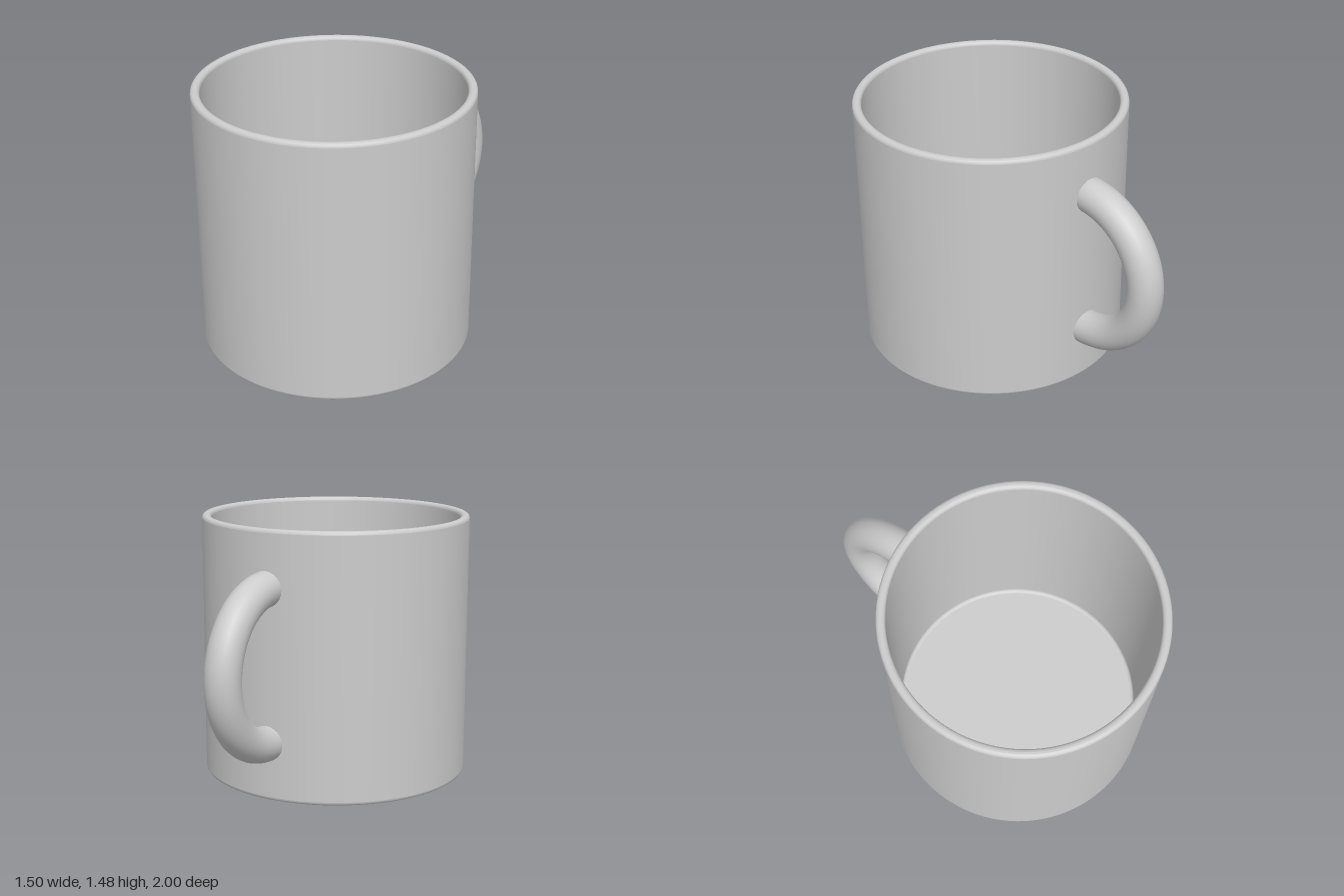
import * as THREE from 'three';

const HEIGHT = 1.475, OUTER = 0.75, INNER = 0.7, FLOOR = 0.05;
const CENTRE_Z = 0.25;

// Quarter round; its doubled end points keep the neighbouring faces evenly shaded
function arc(cx, cy, r, from, to, steps = 4) {
  const points = Array.from({ length: steps + 1 }, (_, i) => {
    const a = from + ((to - from) * i) / steps;
    return new THREE.Vector2(cx + r * Math.cos(a), cy + r * Math.sin(a));
  });
  return [points[0].clone(), ...points, points[steps].clone()];
}

export function createModel() {
  const group = new THREE.Group();
  group.name = 'mug';
  const material = new THREE.MeshStandardMaterial({ color: 0xcccccc });

  const add = (name, geometry, x, y, z) => {
    const mesh = new THREE.Mesh(geometry, material);
    mesh.name = name;
    mesh.position.set(x, y, z);
    group.add(mesh);
  };

  // Cup: hollow wall profile with rounded base edge and lip, open down to the floor
  const r = 0.02;
  const profile = [
    new THREE.Vector2(0, 0),
    ...arc(OUTER - r, r, r, -Math.PI / 2, 0),
    ...arc(OUTER - r, HEIGHT - r, r, 0, Math.PI / 2),
    ...arc(INNER + r, HEIGHT - r, r, Math.PI / 2, Math.PI),
    ...arc(INNER - r, FLOOR + r, r, 0, -Math.PI / 2),
    new THREE.Vector2(0, FLOOR),
  ];
  add('cup', new THREE.LatheGeometry(profile, 96), 0, 0, CENTRE_Z);

  // Handle: half ring behind the cup, its ends sunk into the wall
  const ring = new THREE.TorusGeometry(0.42, 0.097, 24, 64, Math.PI)
    .rotateZ(-Math.PI / 2)
    .rotateY(Math.PI / 2);
  add('handle', ring, 0, 0.74, -0.483);

  return group;
}
